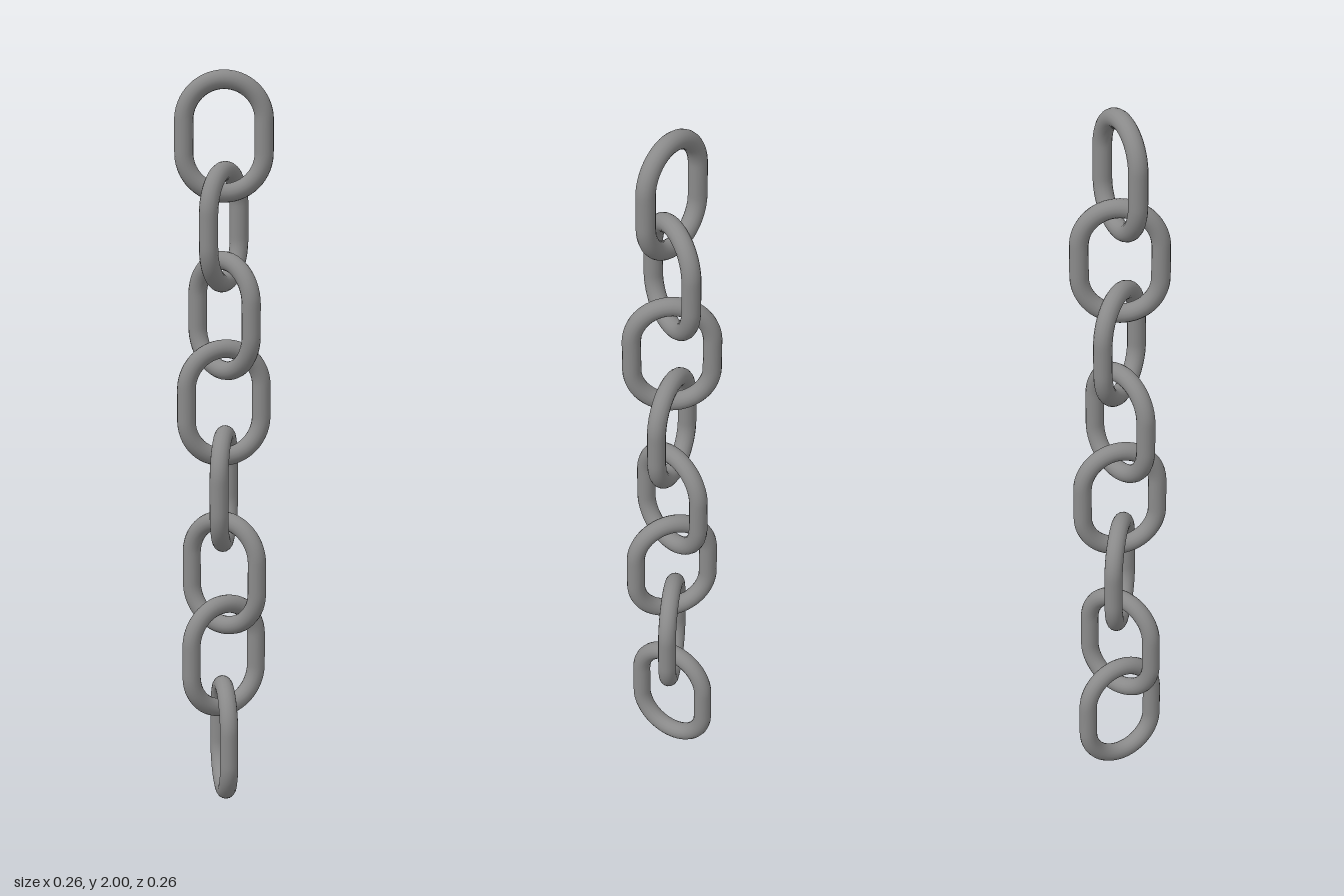
import * as THREE from 'three';

const LINKS = 8;
const HEIGHT = 0.345;          // outer height of one link
const TUBE = 0.025;            // bar radius
const BEND = 0.105;            // radius of the rounded ends
const HALF = HEIGHT / 2 - TUBE - BEND; // half length of the straight sides
const PITCH = (2 - HEIGHT) / (LINKS - 1);
const TWIST = THREE.MathUtils.degToRad(65);

// Centre line of a link: two half circles joined by straight sides
class LinkCurve extends THREE.Curve {
  getPoint(t, target = new THREE.Vector3()) {
    const arc = Math.PI * BEND, side = 2 * HALF;
    const lap = 2 * (arc + side);
    // start at the middle of the top bend, run anticlockwise
    let s = (((t % 1) + 1) % 1) * lap + arc / 2;
    s %= lap;
    const flip = s >= arc + side ? -1 : 1;
    if (flip < 0) s -= arc + side;
    let x, y;
    if (s < arc) {
      const a = s / BEND;
      x = BEND * Math.cos(a);
      y = HALF + BEND * Math.sin(a);
    } else {
      x = -BEND;
      y = HALF - (s - arc);
    }
    return target.set(flip * x, flip * y, 0);
  }
}

export function createModel() {
  const chain = new THREE.Group();
  chain.name = 'chain';
  const material = new THREE.MeshStandardMaterial({ color: 0x8a8a8a });
  const geometry = new THREE.TubeGeometry(new LinkCurve(), 72, TUBE, 16, true);

  // Links from top to bottom, each turned a further step about the chain axis
  for (let i = 0; i < LINKS; i++) {
    const link = new THREE.Mesh(geometry, material);
    link.name = `link${i + 1}`;
    link.position.y = 2 - HEIGHT / 2 - i * PITCH;
    link.rotation.y = i * TWIST - THREE.MathUtils.degToRad(5);
    chain.add(link);
  }
  return chain;
}
